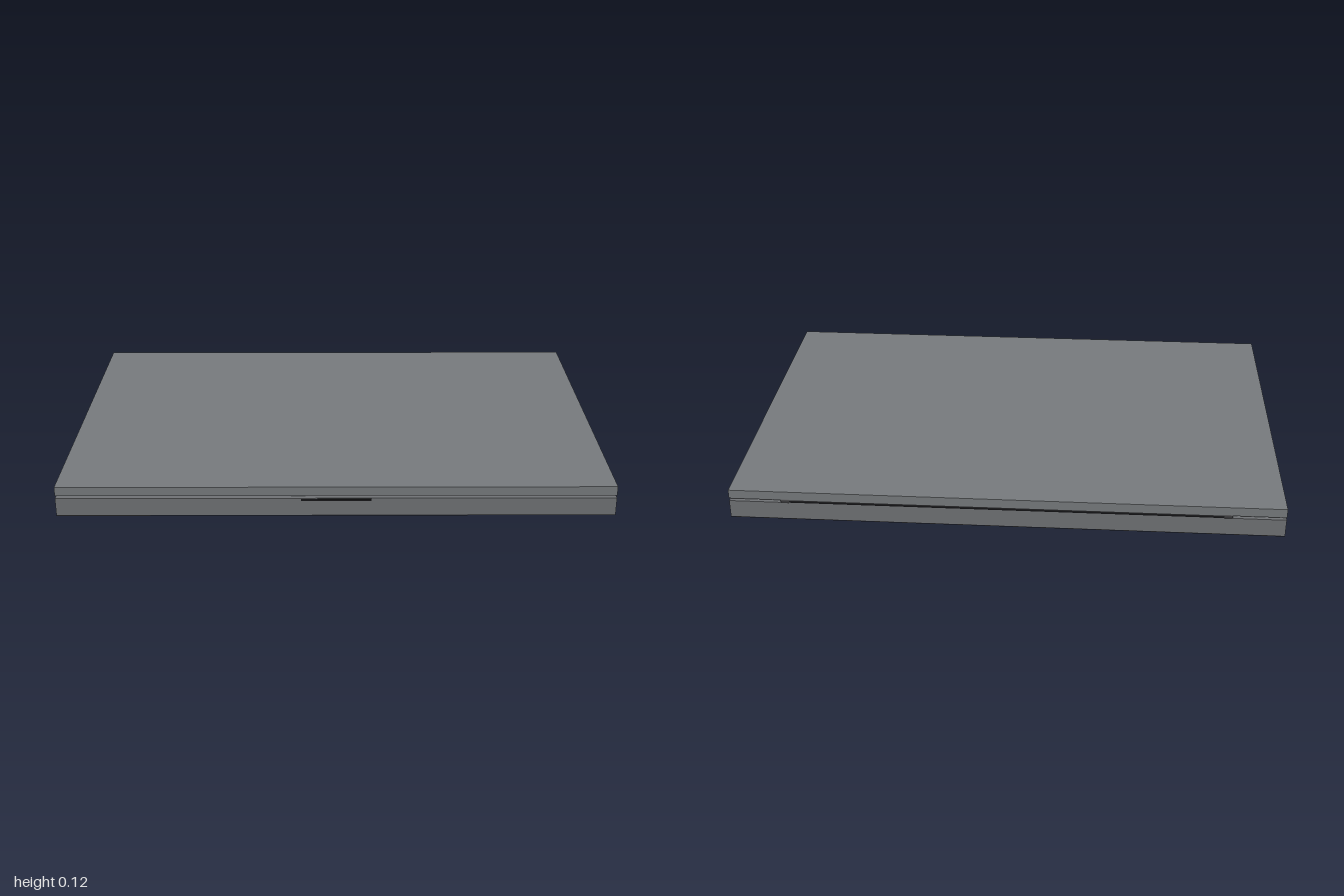
import * as THREE from 'three';

const material = (color) => new THREE.MeshStandardMaterial({ color });
const shell = material(0x75797c);
const baseGrey = material(0x6e7073);
const dark = material(0x38383a);
const black = material(0x141416);

export function createModel() {
  const group = new THREE.Group();

  const add = (name, geometry, mat, x, y, z) => {
    const mesh = new THREE.Mesh(geometry, mat);
    mesh.name = name;
    mesh.position.set(x, y, z);
    group.add(mesh);
    return mesh;
  };
  // Box given by its x, y and z ranges
  const box = (name, mat, [x0, x1], [y0, y1], [z0, z1]) =>
    add(name, new THREE.BoxGeometry(x1 - x0, y1 - y0, z1 - z0), mat,
      (x0 + x1) / 2, (y0 + y1) / 2, (z0 + z1) / 2);
  // Cylinder lying along x
  const rod = (name, mat, radius, length, x, y, z) => {
    const geometry = new THREE.CylinderGeometry(radius, radius, length, 24);
    geometry.rotateZ(Math.PI / 2);
    return add(name, geometry, mat, x, y, z);
  };

  // Base with its dark bottom plate
  box('base', baseGrey, [-1, 1], [0.007, 0.073], [-0.686, 0.686]);
  box('bottomPlate', dark, [-1, 1], [0.004, 0.007], [-0.686, 0.686]);

  // Closed lid with the screen on its underside
  box('lid', shell, [-1, 1], [0.083, 0.117], [-0.686, 0.686]);
  box('screen', black, [-0.93, 0.93], [0.08, 0.083], [-0.57, 0.645]);

  // Trackpad and low keys in the gap
  box('trackpad', dark, [-0.3, 0.3], [0.073, 0.0735], [0.2, 0.58]);
  const rows = 5, columns = 14, pitchX = 0.12, pitchZ = 0.12;
  const keyGeometry = new THREE.BoxGeometry(0.1, 0.001, 0.1);
  for (let r = 0; r < rows; r++) {
    for (let c = 0; c < columns; c++) {
      add('key', keyGeometry, black,
        (c - (columns - 1) / 2) * pitchX, 0.0735, -0.42 + r * pitchZ);
    }
  }

  // Hinge bar with a knuckle at each end
  rod('hinge', black, 0.016, 1.56, 0, 0.078, -0.671);
  for (const side of [-1, 1]) {
    rod('hingeKnuckle', dark, 0.017, 0.03, side * 0.795, 0.078, -0.671);
  }

  // Finger notch at the front edge
  box('openingNotch', black, [-0.125, 0.125], [0.064, 0.071], [0.68, 0.689]);

  // Ports on the left side: a rounded slot and a round jack
  const slot = new THREE.Shape();
  slot.absarc(0.014, 0, 0.007, -Math.PI / 2, Math.PI / 2);
  slot.absarc(-0.014, 0, 0.007, Math.PI / 2, Math.PI * 1.5);
  const slotGeometry = new THREE.ExtrudeGeometry(slot, { depth: 0.006, bevelEnabled: false, curveSegments: 8 });
  slotGeometry.rotateY(Math.PI / 2);
  add('portSlot', slotGeometry, black, 0.995, 0.045, -0.37);
  rod('audioJack', black, 0.008, 0.006, 0.998, 0.045, -0.245);

  // Four round feet
  const footGeometry = new THREE.CylinderGeometry(0.044, 0.044, 0.005, 32);
  for (const x of [-0.845, 0.845]) {
    for (const z of [-0.532, 0.532]) add('foot', footGeometry, black, x, 0.0025, z);
  }

  return group;
}
